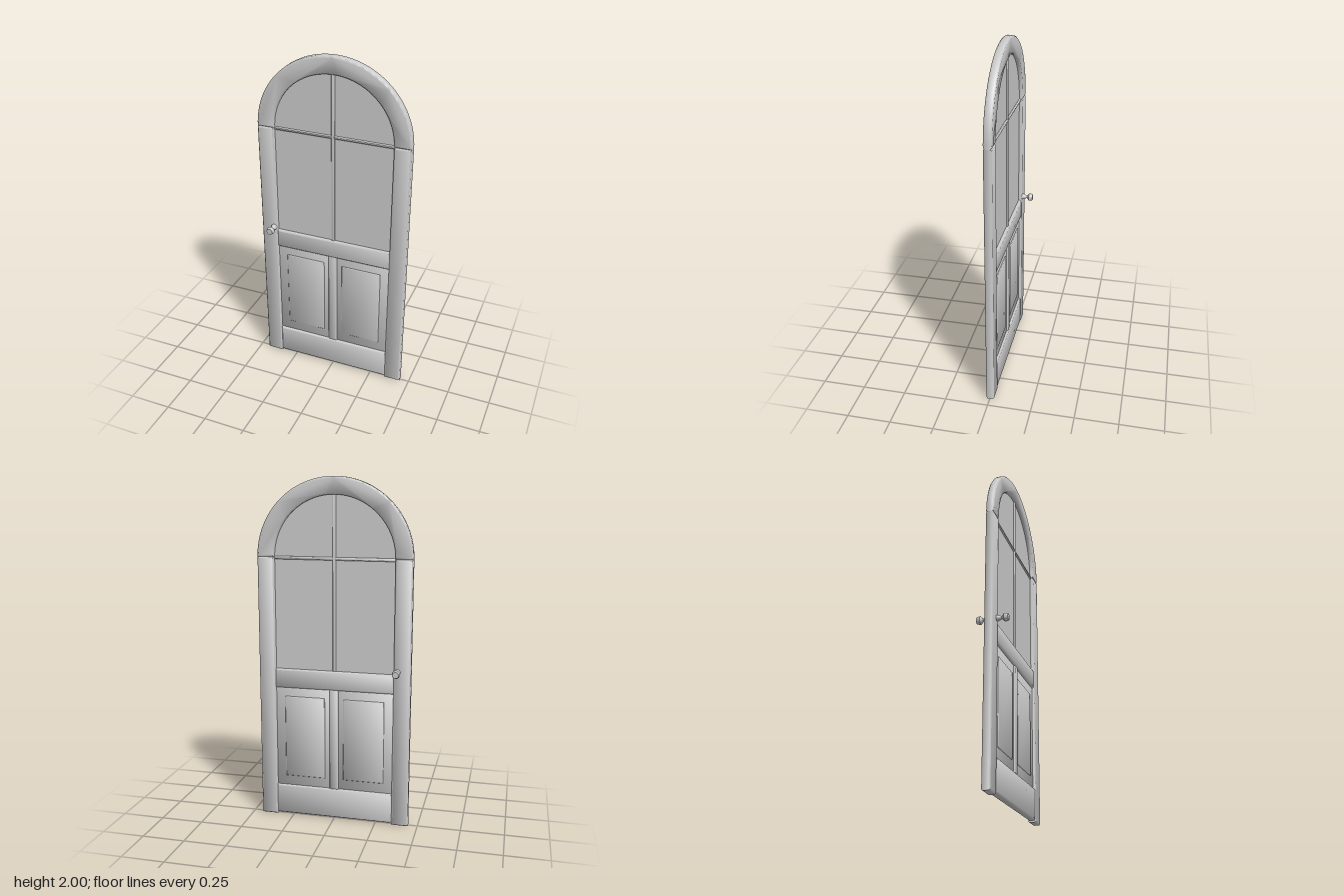
import * as THREE from 'three';
import { mergeVertices, toCreasedNormals } from 'three/addons/utils/BufferGeometryUtils.js';

const SPRING = 1.555; // height where the arch starts
const OUTER = 0.445, INNER = 0.347;
const Z_MID = -0.002;

export function createModel() {
  const door = new THREE.Group();
  door.name = 'archedDoor';
  const material = new THREE.MeshStandardMaterial({ color: 0xcccccc });

  function add(name, geometry) {
    const mesh = new THREE.Mesh(geometry, material);
    mesh.name = name;
    door.add(mesh);
    return mesh;
  }

  // Extrudes an outline to the given depth, with softly shaded chamfered edges
  function chamfered(shape, depth, bevel) {
    const g = new THREE.ExtrudeGeometry(shape, {
      depth: depth - 2 * bevel, bevelEnabled: true, bevelThickness: bevel,
      bevelSize: bevel, bevelOffset: -bevel, bevelSegments: 1, curveSegments: 32,
    });
    g.translate(0, 0, Z_MID - depth / 2 + bevel);
    g.deleteAttribute('uv');
    g.deleteAttribute('normal');
    return toCreasedNormals(mergeVertices(g, 1e-5), 0.9);
  }

  function board(name, x0, x1, y0, y1, depth, bevel) {
    const s = new THREE.Shape();
    s.moveTo(x0, y0);
    s.lineTo(x1, y0);
    s.lineTo(x1, y1);
    s.lineTo(x0, y1);
    s.closePath();
    return add(name, chamfered(s, depth, bevel));
  }

  // Arched head of the frame
  const arch = new THREE.Shape();
  arch.absarc(0, SPRING, OUTER, 0, Math.PI, false);
  arch.absarc(0, SPRING, INNER, Math.PI, 0, true);
  arch.closePath();
  add('archHead', chamfered(arch, 0.046, 0.008));

  // Upright stiles
  board('leftStile', INNER, OUTER, 0, SPRING, 0.046, 0.008);
  board('rightStile', -OUTER, -INNER, 0, SPRING, 0.046, 0.008);

  // Cross rails
  board('bottomRail', -0.35, 0.35, 0.01, 0.19, 0.042, 0.008);
  board('middleRail', -0.35, 0.35, 0.795, 0.907, 0.042, 0.008);

  // Lower panels with raised fields and the post between them
  board('panelPost', -0.027, 0.027, 0.185, 0.80, 0.034, 0.006);
  for (const [name, x] of [['left', 0.175], ['right', -0.175]]) {
    board(name + 'Panel', x - 0.175, x + 0.175, 0.18, 0.80, 0.016, 0.002);
    board(name + 'RaisedField', x - 0.12, x + 0.12, 0.248, 0.742, 0.025, 0.005);
  }

  // Window pane with its arched top
  const pane = new THREE.Shape();
  pane.moveTo(-0.352, 0.9);
  pane.lineTo(0.352, 0.9);
  pane.lineTo(0.352, SPRING);
  pane.absarc(0, SPRING, 0.352, 0, Math.PI, false);
  pane.closePath();
  const glass = new THREE.ExtrudeGeometry(pane, { depth: 0.006, bevelEnabled: false, curveSegments: 32 });
  glass.translate(0, 0, Z_MID - 0.003);
  add('windowPane', glass);

  // Glazing bars
  board('verticalGlazingBar', -0.01, 0.01, 0.9, 1.905, 0.024, 0.005);
  board('horizontalGlazingBar', -0.35, 0.35, 1.542, 1.56, 0.022, 0.005);

  // Turned knobs on both faces
  const profile = [
    [0.018, 0.015], [0.018, 0.026], [0.008, 0.052], [0.023, 0.066],
    [0.023, 0.072], [0.018, 0.088], [0, 0.088],
  ].map(([r, h]) => new THREE.Vector2(r, h));
  const knob = toCreasedNormals(new THREE.LatheGeometry(profile, 16), 0.6);
  for (const side of [1, -1]) {
    const mesh = add(side > 0 ? 'frontKnob' : 'backKnob', knob);
    mesh.rotation.x = side * Math.PI / 2;
    mesh.position.set(-0.368, 0.925, Z_MID);
  }

  return door;
}
